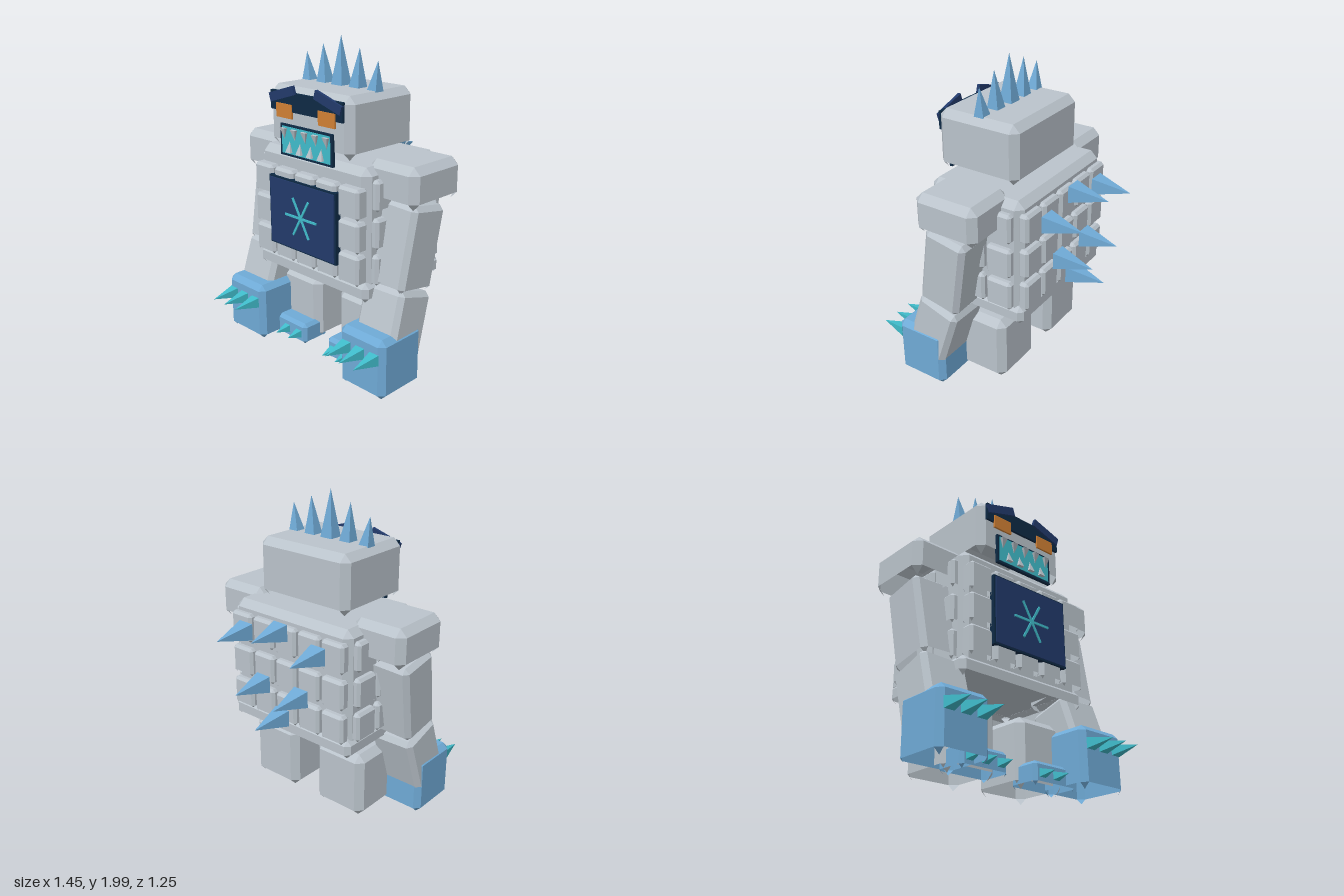
import * as THREE from 'three';

const mat = (name, color) => {
  const m = new THREE.MeshStandardMaterial({ color, side: THREE.DoubleSide, flatShading: true });
  m.name = name;
  return m;
};

// Box with chamfered edges and an open underside, as used for every block of stone
function blockGeometry(w, h, d, c) {
  const half = [w / 2, h / 2, d / 2], pos = [];
  // corner vertex lying on the face of the given axis
  const v = (axis, s) => new THREE.Vector3(...half.map((e, i) => s[i] * (i === axis ? e : e - c)));
  const tri = (a, b, e) => {
    const n = b.clone().sub(a).cross(e.clone().sub(a));
    const out = n.dot(a.clone().add(b).add(e)) > 0;
    for (const p of out ? [a, b, e] : [a, e, b]) pos.push(p.x, p.y, p.z);
  };
  const quad = (a, b, e, f) => { tri(a, b, e); tri(a, e, f); };
  const signs = (axis, s, p, j, q, k) => { const r = [0, 0, 0]; r[axis] = s; r[j] = p; r[k] = q; return r; };
  for (let axis = 0; axis < 3; axis++) {
    const j = (axis + 1) % 3, k = (axis + 2) % 3;
    for (const s of [-1, 1]) {
      // flat sides and top
      if (!(axis === 1 && s < 0)) {
        quad(...[[-1, -1], [1, -1], [1, 1], [-1, 1]].map(([p, q]) => v(axis, signs(axis, s, p, j, q, k))));
      }
      // bevels between the faces of axes "axis" and "j"
      for (const t of [-1, 1]) {
        if ((axis === 1 && s < 0) || (j === 1 && t < 0)) continue;
        const lo = signs(axis, s, t, j, -1, k), hi = signs(axis, s, t, j, 1, k);
        quad(v(axis, lo), v(axis, hi), v(j, hi), v(j, lo));
      }
    }
  }
  // corner triangles
  for (const x of [-1, 1]) for (const y of [-1, 1]) for (const z of [-1, 1]) {
    const s = [x, y, z];
    tri(v(0, s), v(1, s), v(2, s));
  }
  const g = new THREE.BufferGeometry();
  g.setAttribute('position', new THREE.Float32BufferAttribute(pos, 3));
  g.computeVertexNormals();
  return g;
}

export function createModel() {
  const root = new THREE.Group();
  const stone = mat('stone', 0xbac3cb);
  const ice = mat('iceBlue', 0x6faad6);
  const teal = mat('teal', 0x40bccb);
  const navy = mat('navy', 0x223a6b);
  const dark = mat('darkNavy', 0x0e2a45);
  const orange = mat('orange', 0xd08034);

  const add = (name, geo, m, x, y, z) => {
    const mesh = new THREE.Mesh(geo, m);
    mesh.name = name;
    mesh.position.set(x, y, z);
    root.add(mesh);
    return mesh;
  };
  // Chamfered block from its minimum and maximum corners
  const block = (name, m, x0, x1, y0, y1, z0, z1, c = 0.045) =>
    add(name, blockGeometry(x1 - x0, y1 - y0, z1 - z0, c), m, (x0 + x1) / 2, (y0 + y1) / 2, (z0 + z1) / 2);
  // Plain box from its minimum and maximum corners
  const box = (name, m, x0, x1, y0, y1, z0, z1) =>
    add(name, new THREE.BoxGeometry(x1 - x0, y1 - y0, z1 - z0), m, (x0 + x1) / 2, (y0 + y1) / 2, (z0 + z1) / 2);
  // Square pyramid with its base centre at the given point, pointing up
  const spike = (name, m, size, length, x, y, z) => {
    const g = new THREE.ConeGeometry(size / Math.SQRT2, length, 4);
    g.rotateY(Math.PI / 4).translate(0, length / 2, 0);
    return add(name, g, m, x, y, z);
  };

  // Trunk and head
  block('torso', stone, -0.46, 0.46, 0.58, 1.32, -0.32, 0.33);
  block('waist', stone, -0.475, 0.475, 0.515, 0.635, -0.335, 0.35, 0.03);
  block('head', stone, -0.345, 0.345, 1.34, 1.71, -0.21, 0.345);

  // Stone tiles around the trunk
  for (const [row, y] of [1.16, 0.932, 0.71].entries()) {
    for (let i = -2; i <= 2; i++) {
      const x = i * 0.182;
      const fy = [1.12, 0.92, 0.72][row];
      block('backTile', stone, x - 0.083, x + 0.083, y - 0.093, y + 0.093, -0.36, -0.29, 0.017);
      block('frontTile', stone, x - 0.083, x + 0.083, fy - 0.093, fy + 0.093, 0.3, 0.39, 0.017);
    }
    for (const side of [-1, 1]) for (let i = -1; i <= 1; i++) {
      const z = 0.005 + i * 0.19;
      block('sideTile', stone, side * 0.47 - 0.03, side * 0.47 + 0.03, y - 0.093, y + 0.093, z - 0.087, z + 0.087, 0.017);
    }
  }

  // Chest plate with a six-armed star
  box('chestPlateRim', dark, -0.288, 0.288, 0.725, 1.165, 0.365, 0.402);
  box('chestPlate', navy, -0.277, 0.277, 0.735, 1.155, 0.38, 0.409);
  for (let i = 0; i < 3; i++) {
    const bar = add('chestStar', new THREE.BoxGeometry(0.27, 0.014, 0.008), teal, 0, 0.945, 0.412);
    bar.rotation.z = i * Math.PI / 3;
  }

  // Mouth and teeth
  box('mouthRim', dark, -0.222, 0.222, 1.295, 1.487, 0.34, 0.36);
  box('mouth', teal, -0.205, 0.205, 1.31, 1.475, 0.356, 0.364);
  for (let i = -2; i <= 2; i++) {
    spike('upperTooth', stone, 0.042, 0.068, i * 0.09, 1.465, 0.364).rotation.x = Math.PI;
    if (i < 2) spike('lowerTooth', stone, 0.042, 0.068, i * 0.09 + 0.045, 1.322, 0.364);
  }

  // Eye band, eyes and brows
  box('eyeBand', dark, -0.302, 0.302, 1.565, 1.68, 0.34, 0.36);
  for (const side of [-1, 1]) {
    box('eye', orange, side * 0.18 - 0.068, side * 0.18 + 0.068, 1.525, 1.61, 0.355, 0.367);
    const brow = add('brow', new THREE.BoxGeometry(0.22, 0.055, 0.02), navy, side * 0.194, 1.667, 0.362);
    brow.rotation.z = -side * 0.3;
  }

  // Crown of spikes, fanning outwards
  for (let i = -2; i <= 2; i++) {
    const a = Math.abs(i);
    const s = spike('headSpike', ice, 0.09 - a * 0.01, 0.3 - a * 0.06, i * 0.137, 1.7, 0.065);
    s.rotation.z = -i * 0.06;
  }

  // Spikes on the back
  for (const [x, y] of [[-0.29, 1.165], [0, 1.235], [0.29, 1.165], [-0.155, 0.855], [0.155, 0.855], [0, 0.675]]) {
    spike('backSpike', ice, 0.107, 0.24, x, y, -0.385).rotation.x = -Math.PI / 2;
  }

  // Arms and legs, mirrored
  for (const side of [-1, 1]) {
    const pair = (name, m, x0, x1, ...rest) =>
      block(name, m, Math.min(side * x0, side * x1), Math.max(side * x0, side * x1), ...rest);
    pair('shoulder', stone, 0.36, 0.725, 1.105, 1.355, -0.19, 0.235);

    const upper = add('upperArm', blockGeometry(0.31, 0.52, 0.285, 0.03), stone, side * 0.533, 0.85, 0.09);
    upper.rotation.set(-0.175, 0, -side * 0.04);
    const fore = add('forearm', blockGeometry(0.305, 0.43, 0.285, 0.03), stone, side * 0.54, 0.385, 0.195);
    fore.rotation.set(-0.3, 0, side * 0.035);

    pair('hand', ice, 0.35, 0.7, 0.01, 0.39, 0.1, 0.45, 0.035);
    for (const x of [0.418, 0.528, 0.637]) {
      spike('knuckleSpike', teal, 0.068, 0.175, side * x, 0.275, 0.447).rotation.x = Math.PI / 2;
    }

    pair('leg', stone, 0.085, 0.455, 0.015, 0.45, -0.185, 0.2);
    pair('toeCap', ice, 0.1, 0.435, 0.015, 0.157, 0.1, 0.305, 0.022);
    for (const x of [0.16, 0.27, 0.38]) {
      spike('toeSpike', teal, 0.05, 0.1, side * x, 0.085, 0.303).rotation.x = Math.PI / 2;
    }
  }
  return root;
}
